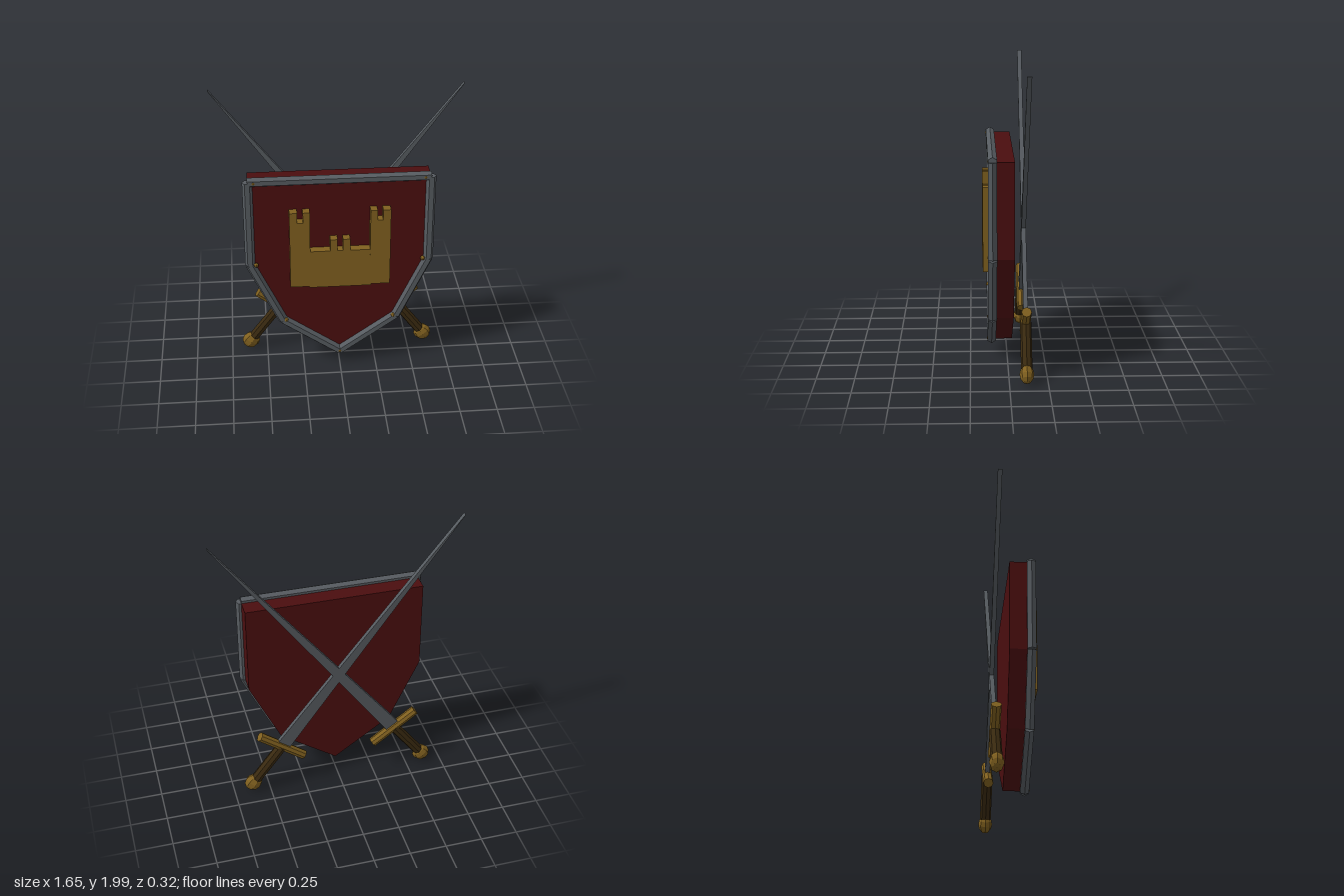
import * as THREE from 'three';

const mat = (name, color) => {
  const m = new THREE.MeshStandardMaterial({ color });
  m.name = name;
  return m;
};

export function createModel() {
  const red = mat('dark red', 0x4b0e0f);
  const gold = mat('old gold', 0x80601f);
  const steel = mat('steel', 0x565b60);
  const leather = mat('grip brown', 0x3a2a10);

  const model = new THREE.Group();
  model.name = 'shieldWithCrossedSwords';

  // Adds a faceted mesh to a parent
  const add = (parent, name, geometry, material, x = 0, y = 0, z = 0) => {
    const g = geometry.index ? geometry.toNonIndexed() : geometry;
    g.computeVertexNormals();
    const mesh = new THREE.Mesh(g, material);
    mesh.name = name;
    mesh.position.set(x, y, z);
    parent.add(mesh);
    return mesh;
  };
  const plate = (points, depth) => new THREE.ExtrudeGeometry(
    new THREE.Shape(points.map(([x, y]) => new THREE.Vector2(x, y))),
    { depth, bevelEnabled: false });

  // Shield board
  const outline = [[-0.6, 1.44], [-0.6, 0.82], [-0.39, 0.37], [0, 0.095],
    [0.39, 0.37], [0.6, 0.82], [0.6, 1.44]];
  add(model, 'shieldBoard', plate(outline, 0.14), red, 0, 0, -0.035);

  // Six-sided rim bars, one along each edge
  outline.forEach(([ax, ay], i) => {
    const [bx, by] = outline[(i + 1) % outline.length];
    const dx = bx - ax, dy = by - ay;
    const bar = new THREE.CylinderGeometry(0.033, 0.033, Math.hypot(dx, dy), 6, 1, false, Math.PI / 2);
    add(model, 'rimBar', bar, steel, (ax + bx) / 2, (ay + by) / 2, 0.105)
      .rotation.z = Math.atan2(-dx, dy);
  });

  // Rivets at the corners
  const rivets = [[0, 0.1]];
  for (const s of [-1, 1]) rivets.push([s * 0.56, 1.44], [s * 0.56, 0.825], [s * 0.37, 0.375]);
  for (const [x, y] of rivets) add(model, 'rivet', new THREE.SphereGeometry(0.016, 8, 6), gold, x, y, 0.122);

  // Castle emblem: two notched towers and a notched wall
  const castle = new THREE.Group();
  castle.name = 'castleEmblem';
  model.add(castle);
  const tower = [[0.2, 0.665], [0.335, 0.665], [0.335, 1.23], [0.283, 1.23],
    [0.283, 1.155], [0.246, 1.155], [0.246, 1.23], [0.2, 1.23]];
  for (const s of [-1, 1]) {
    add(castle, 'tower', plate(tower.map(([x, y]) => [s * x, y]), 0.065), gold, 0, 0, 0.1);
  }
  const wall = [[-0.208, 0.655], [0.208, 0.655], [0.208, 0.935], [0.066, 0.935], [0.066, 1.02],
    [0.018, 1.02], [0.018, 0.935], [-0.018, 0.935], [-0.018, 1.02], [-0.066, 1.02],
    [-0.066, 0.935], [-0.208, 0.935]];
  add(castle, 'wall', plate(wall, 0.064), gold, 0, 0, 0.1);

  // Crossed swords behind the shield, each built upward from its pommel
  for (const s of [-1, 1]) {
    const sword = new THREE.Group();
    sword.name = s > 0 ? 'leftSword' : 'rightSword';
    sword.position.set(s * 0.615, 0.063, -0.112);
    sword.rotation.z = s * 0.641;
    model.add(sword);

    const pommel = new THREE.SphereGeometry(0.062, 8, 6);
    pommel.scale(1, 1, 0.76);
    add(sword, 'pommel', pommel, gold);
    add(sword, 'grip', new THREE.CylinderGeometry(0.037, 0.037, 0.34, 8), leather, 0, 0.18);
    add(sword, 'crossguard', new THREE.CylinderGeometry(0.033, 0.033, 0.38, 8), gold, 0, 0.355)
      .rotation.z = Math.PI / 2;

    // Blade keeps its thickness and narrows to the tip
    const blade = new THREE.BoxGeometry(0.1, 2.06, 0.03);
    const p = blade.attributes.position;
    for (let i = 0; i < p.count; i++) if (p.getY(i) > 0) p.setX(i, p.getX(i) * 0.03);
    add(sword, 'blade', blade, steel, 0, 1.38);
  }
  return model;
}
